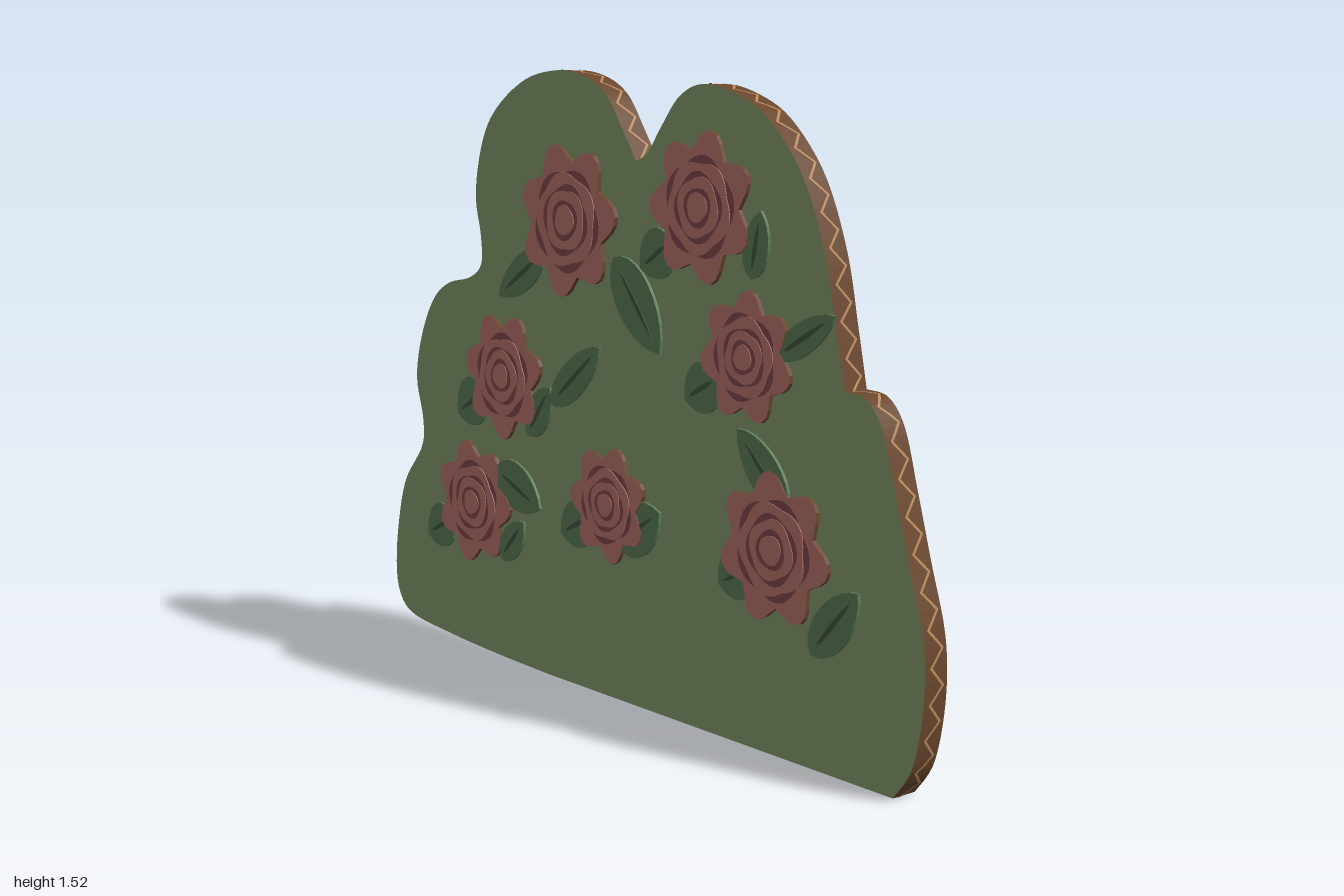
import * as THREE from 'three';

const mat = (name, color, side = THREE.FrontSide) => {
  const m = new THREE.MeshStandardMaterial({ color, side });
  m.name = name;
  return m;
};

// Outline runs, clockwise, split at the sharp corners (horizontal, height)
const RUNS = [
  [[-.914, 0], [-.968, .08], [-.995, .22], [-.99, .355], [-.946, .505], [-.904, .65], [-.866, .773], [-.818, .832], [-.754, .842]],
  [[-.754, .842], [-.727, .97], [-.69, 1.131], [-.62, 1.291], [-.513, 1.409], [-.406, 1.463], [-.3, 1.484], [-.219, 1.457],
    [-.155, 1.388], [-.107, 1.329], [-.064, 1.308]],
  [[-.064, 1.308], [-.01, 1.388], [.048, 1.463], [.128, 1.505], [.235, 1.521], [.369, 1.5], [.492, 1.43], [.556, 1.345],
    [.588, 1.211], [.567, 1.104], [.567, 1.03], [.62, .992], [.717, .971], [.791, .922], [.85, .82], [.877, .703],
    [.85, .596], [.856, .516], [.94, .41], [.979, .29], [.995, .168], [.979, .083], [.914, .035], [.743, .017], [.53, .006], [.29, 0]],
];

// Roses: z, y, radius
const ROSES = [[.30, 1.21, .175], [-.19, 1.16, .19], [.455, .886, .15], [-.463, .75, .165],
  [.55, .47, .175], [-.034, .48, .145], [-.60, .40, .165]];

// Leaves: base z, base y, tip z, tip y, width
const LEAVES = [
  [.47, 1.06, .50, 1.21, .08], [.55, .895, .73, 1.0, .07], [-.01, 1.08, .16, .865, .13],
  [-.29, 1.075, -.48, .955, .09], [.59, .56, .43, .725, .10], [-.26, .70, -.065, .86, .09],
  [-.36, .61, -.265, .74, .09], [.67, .26, .81, .42, .10], [.0, .39, .16, .49, .13],
  [-.50, .505, -.31, .425, .12], [-.48, .27, -.38, .38, .08],
  [.20, 1.13, .09, 1.06, .12], [.36, .83, .25, .77, .12], [-.55, .70, -.67, .63, .13],
  [.48, .42, .37, .36, .12], [-.10, .44, -.22, .38, .12], [-.70, .34, -.82, .28, .12],
];

export function createModel() {
  const model = new THREE.Group();
  model.name = 'cardboardRoseBush';

  const cardboard = mat('cardboard', 0x957a5e);
  const edge = mat('cardboard edge', 0x6a472e);
  const flute = mat('corrugation', 0xb98a5c, THREE.DoubleSide);
  const green = mat('bush green', 0x839a6c);
  const leafGreen = mat('leaf green', 0x5c7c56);
  const veinGreen = mat('leaf vein', 0x3f563d);
  const rose = mat('rose red', 0xb7736a);
  const roseDark = mat('rose shadow red', 0x80484a);

  // Flat art is drawn in a plane, then turned so its depth runs along x
  const art = new THREE.Group();
  art.name = 'cutout';
  art.rotation.y = Math.PI / 2;
  model.add(art);

  // A flat sheet between two depths
  const sheet = (parent, name, shape, from, to, materials) => {
    const geo = new THREE.ExtrudeGeometry(shape, { depth: to - from, bevelEnabled: false, curveSegments: 10 });
    geo.translate(0, 0, from);
    const mesh = new THREE.Mesh(geo, materials);
    mesh.name = name;
    parent.add(mesh);
    return mesh;
  };

  // Board
  const outline = [];
  RUNS.forEach((run, i) => {
    const pts = new THREE.SplineCurve(run.map(p => new THREE.Vector2(...p))).getPoints(run.length * 5);
    outline.push(...(i ? pts.slice(1) : pts));
  });
  outline.forEach(p => { p.y = Math.max(p.y, 0); });
  const board = new THREE.Shape(outline);
  sheet(art, 'board', board, -.025, .04, [cardboard, edge]);
  sheet(art, 'paintedFace', board, -.027, -.025, [green, edge]);

  // Zigzag corrugation ribbon around the rim
  const loop = new THREE.Shape([...outline, outline[0]]).getSpacedPoints(320);
  const n = loop.length - 1;
  const pos = [], idx = [];
  const wave = [-1, 0, 1, 0];
  for (let i = 0; i <= n; i++) {
    const p = loop[i % n], a = loop[(i + n - 1) % n], b = loop[(i + 1) % n];
    const t = b.clone().sub(a).normalize();
    const z = .008 + .018 * wave[i % 4];
    for (const w of [-.004, .004]) pos.push(p.x - t.y * .002, Math.max(p.y + t.x * .002, -.001), z + w);
    if (i < n) idx.push(2 * i, 2 * i + 1, 2 * i + 2, 2 * i + 1, 2 * i + 3, 2 * i + 2);
  }
  const ribbon = new THREE.BufferGeometry();
  ribbon.setAttribute('position', new THREE.Float32BufferAttribute(pos, 3));
  ribbon.setIndex(idx);
  ribbon.computeVertexNormals();
  const zigzag = new THREE.Mesh(ribbon, flute);
  zigzag.name = 'corrugation';
  art.add(zigzag);

  // Leaves with a raised vein
  const leafShape = (len, w) => {
    const s = new THREE.Shape();
    s.moveTo(0, 0);
    s.bezierCurveTo(len * .1, w * .67, len * .75, w * .67, len, 0);
    s.bezierCurveTo(len * .75, -w * .67, len * .1, -w * .67, 0, 0);
    return s;
  };
  LEAVES.forEach(([z0, y0, z1, y1, w]) => {
    const leaf = new THREE.Group();
    leaf.name = 'leaf';
    const len = Math.hypot(z1 - z0, y1 - y0);
    leaf.position.set(-z0, y0, 0);
    leaf.rotation.z = Math.atan2(y1 - y0, -(z1 - z0));
    sheet(leaf, 'leafBlade', leafShape(len, w), -.035, -.026, leafGreen);
    const vein = leafShape(len * .7, .012);
    sheet(leaf, 'leafVein', vein, -.0365, -.035, veinGreen).position.x = len * .15;
    art.add(leaf);
  });

  // Roses: pointed petals with stacked, wavy inner whorls
  const petalShape = (r, lobes, depth, turn) => {
    const pts = [];
    for (let i = 0; i < 56; i++) {
      const a = i / 56 * Math.PI * 2;
      const peak = Math.pow(Math.abs(Math.cos(a * lobes / 2)), 1.5);
      const k = r * (1 - depth + depth * peak);
      pts.push(new THREE.Vector2(Math.cos(a + turn) * k, Math.sin(a + turn) * k));
    }
    return new THREE.Shape(pts);
  };
  const WHORLS = [ // scale, lobes, lobe depth, front depth, material
    [1, 7, .25, .0375, [rose, edge]],
    [.68, 5, .1, .0382, roseDark], [.62, 5, .1, .0405, rose],
    [.47, 4, .1, .0411, roseDark], [.41, 4, .1, .0427, rose],
    [.27, 3, .1, .0433, roseDark], [.20, 3, .1, .045, rose],
  ];
  ROSES.forEach(([z, y, r], i) => {
    const flower = new THREE.Group();
    flower.name = 'rose';
    flower.position.set(-z, y, 0);
    flower.rotation.z = i * .37;
    let back = -.026;
    WHORLS.forEach(([scale, lobes, depth, front, material], j) => {
      sheet(flower, j ? 'whorl' : 'outerPetals', petalShape(r * scale, lobes, depth, j * .5), -front, back, material);
      back = -front;
    });
    art.add(flower);
  });

  return model;
}
